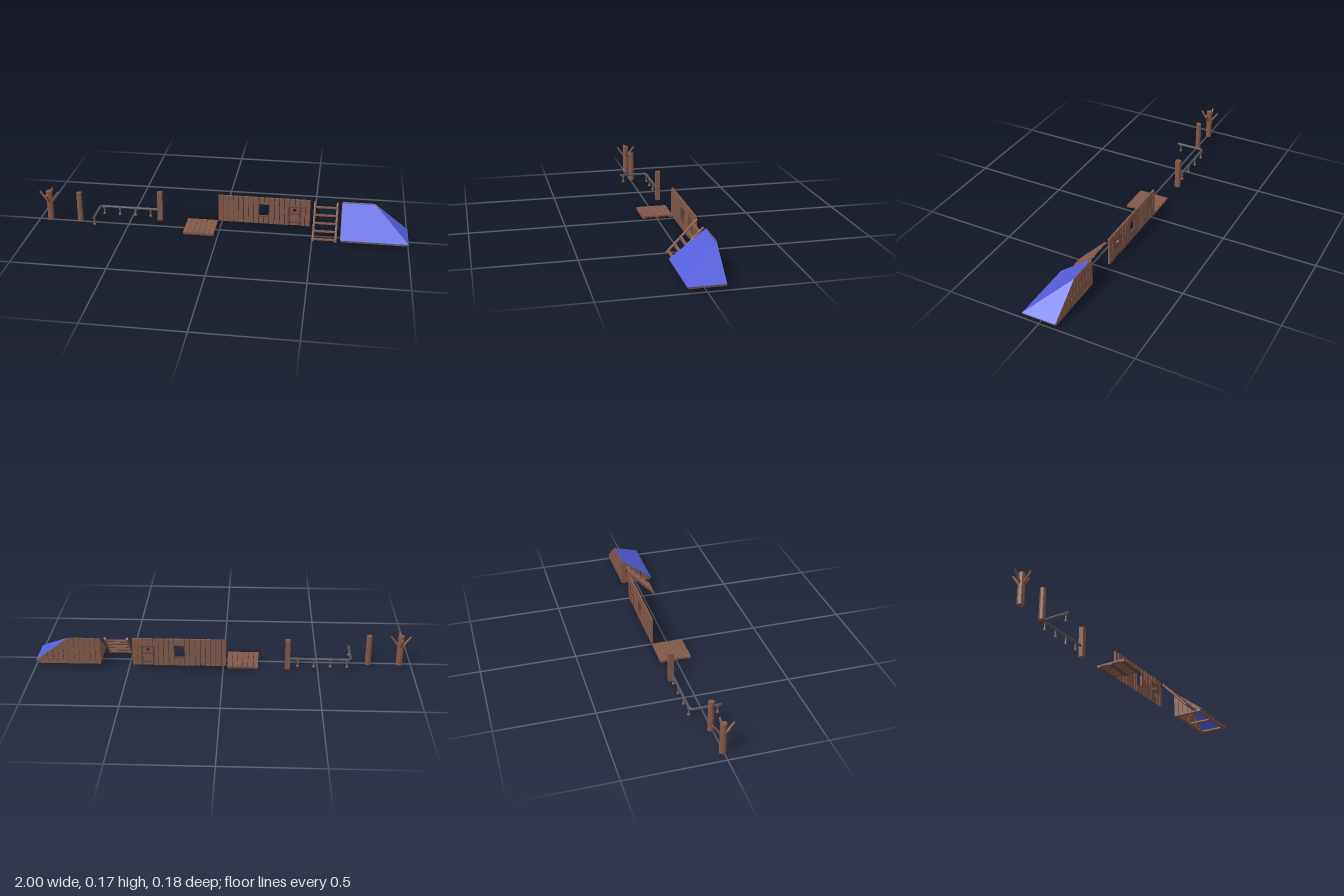
import * as THREE from 'three';

const mat = (color, side = THREE.FrontSide) =>
  new THREE.MeshStandardMaterial({ color, side, flatShading: true, roughness: 0.9 });
const wood = mat(0x83594a), darkWood = mat(0x6a4639), metal = mat(0x50555c);
const cloth = mat(0x5560dd, THREE.DoubleSide);

// Small seeded generator for uneven plank edges
let seed = 7;
const rnd = () => (seed = (seed * 16807) % 2147483647) / 2147483647;

function add(parent, name, geo, material, x = 0, y = 0, z = 0) {
  const m = new THREE.Mesh(geo, material);
  m.name = name;
  m.position.set(x, y, z);
  parent.add(m);
  return m;
}

function group(parent, name, x = 0, y = 0, z = 0) {
  const g = new THREE.Group();
  g.name = name;
  g.position.set(x, y, z);
  parent.add(g);
  return g;
}

const box = (parent, name, w, h, d, x, y, z, m = wood) =>
  add(parent, name, new THREE.BoxGeometry(w, h, d), m, x, y, z);

// Straight round bar between two points
function bar(parent, name, a, b, r0, r1, sides, m) {
  const p = new THREE.Vector3(...a), q = new THREE.Vector3(...b), d = q.clone().sub(p);
  const mesh = add(parent, name, new THREE.CylinderGeometry(r1, r0, d.length(), sides), m);
  mesh.position.copy(p).add(q).multiplyScalar(0.5);
  mesh.quaternion.setFromUnitVectors(new THREE.Vector3(0, 1, 0), d.normalize());
  return mesh;
}

// Upright plank in the xy plane, with a sloping top and slightly uneven sides
function plank(parent, x0, x1, y0, top0, top1, depth) {
  const j = () => 0.0004 + rnd() * 0.0016;
  const s = new THREE.Shape();
  s.moveTo(x0 + j(), y0);
  s.lineTo(x1 - j(), y0);
  s.lineTo(x1 - j(), top1);
  s.lineTo(x0 + j(), top0);
  const geo = new THREE.ExtrudeGeometry(s, { depth, bevelEnabled: false });
  return add(parent, 'plank', geo, wood);
}

function plankRow(parent, x0, x1, count, y0, top, depth) {
  const w = (x1 - x0) / count;
  for (let i = 0; i < count; i++) {
    const a = x0 + i * w;
    plank(parent, a, a + w, y0, top(a), top(a + w), depth);
  }
}

// Bare tree trunk with four branches
function buildTree(root) {
  const g = group(root, 'bareTree', -0.94, 0, -0.005);
  add(g, 'trunk', new THREE.CylinderGeometry(0.017, 0.018, 0.168, 8), wood, 0, 0.084, 0);
  for (let i = 0; i < 4; i++) {
    const c = Math.cos(i * Math.PI / 2), s = Math.sin(i * Math.PI / 2);
    bar(g, 'branch', [c * 0.01, 0.106, s * 0.01], [c * 0.052, 0.164, s * 0.052], 0.007, 0.005, 6, wood);
  }
}

// Curb-height handrail turning one corner, on turned balusters
function buildRailing(root) {
  const g = group(root, 'railing');
  const y = 0.06, pts = [[-0.675, y, 0.078], [-0.675, y, -0.068], [-0.664, y, -0.079], [-0.352, y, -0.079]];
  for (let i = 0; i < 3; i++) bar(g, 'handrail', pts[i], pts[i + 1], 0.007, 0.007, 8, metal);
  for (const p of pts.slice(1, 3)) add(g, 'elbow', new THREE.SphereGeometry(0.0072, 8, 6), metal, ...p);
  const profile = [[0, 0.015], [0.008, 0.015], [0.008, 0.02], [0.005, 0.025], [0.004, 0.045], [0.008, 0.053], [0, 0.054]]
    .map(p => new THREE.Vector2(...p));
  const spots = [[-0.675, 0.06], [-0.655, -0.079], [-0.567, -0.079], [-0.48, -0.079], [-0.395, -0.079]];
  for (const [x, z] of spots) add(g, 'baluster', new THREE.LatheGeometry(profile, 8), wood, x, 0, z);
}

// Square floor panel: planks over cross battens
function buildFloor(root) {
  const g = group(root, 'floorPanel', 0, 0.015, 0.08);
  g.rotation.x = Math.PI / 2;
  g.scale.y = -1;
  const deck = group(g, 'floorDeck');
  deck.scale.y = 1;
  for (let i = 0; i < 6; i++) {
    const x = -0.187 + i * 0.0278;
    box(deck, 'floorPlank', 0.0262 - rnd() * 0.001, 0.168 - rnd() * 0.004, 0.009, x + 0.014, 0.084, 0.0045);
  }
  for (const y of [0.012, 0.084, 0.156]) box(g, 'floorBatten', 0.164, 0.02, 0.006, -0.104, y, 0.012, darkWood);
}

// Plank wall with a window opening and a small door
function buildWall(root) {
  const g = group(root, 'wall', 0, 0, -0.09);
  const w = 0.0277, x0 = -0.018, d = 0.01, top = 0.168, base = 0.015;
  for (let i = 0; i < 18; i++) {
    const a = x0 + i * w, b = a + w;
    if (i === 8 || i === 9) {
      plank(g, a, b, base, 0.06, 0.06, d);
      plank(g, a, b, 0.13, top, top, d);
    } else if (i === 14 || i === 15) plank(g, a, b, 0.122, top, top, d);
    else plank(g, a, b, base, top, top, d);
  }
  // Window frame
  const f = group(g, 'windowFrame', 0.2313, 0.095, 0.006);
  for (const s of [-1, 1]) {
    box(f, 'windowJamb', 0.005, 0.078, 0.013, s * 0.029, 0, 0, darkWood);
    box(f, 'windowSill', 0.063, 0.005, 0.013, 0, s * 0.0365, 0, darkWood);
  }
  // Door leaf with a round peephole
  const door = group(g, 'door', 0.3975);
  const s = new THREE.Shape([[-0.026, 0.017], [0.026, 0.017], [0.026, 0.121], [-0.026, 0.121]]
    .map(p => new THREE.Vector2(...p)));
  s.holes.push(new THREE.Path().absarc(-0.001, 0.104, 0.01, 0, Math.PI * 2, true));
  add(door, 'doorLeaf', new THREE.ExtrudeGeometry(s, { depth: 0.008, bevelEnabled: false, curveSegments: 8 }), wood, 0, 0, 0.001);
  for (const k of [-1, 1]) box(door, 'doorJamb', 0.009, 0.107, 0.014, k * 0.033, 0.07, 0.006, darkWood);
  box(door, 'doorLintel', 0.084, 0.009, 0.014, 0, 0.124, 0.006, darkWood);
  for (const y of [0.035, 0.085]) box(door, 'doorBatten', 0.054, 0.009, 0.013, 0, y, 0.006, darkWood);
  box(door, 'doorHandle', 0.005, 0.012, 0.015, 0.019, 0.06, 0.0065, metal);
}

// Leaning ladder with level treads
function buildLadder(root) {
  const g = group(root, 'ladder');
  for (const x of [0.505, 0.624]) bar(g, 'ladderRail', [x, 0.004, 0.069], [x, 0.164, -0.084], 0.0065, 0.0065, 6, wood);
  for (let i = 0; i < 5; i++) {
    const y = 0.014 + i * 0.032;
    box(g, 'ladderTread', 0.118, 0.006, 0.016, 0.5645, y, 0.069 - (y - 0.004) * 0.956);
  }
}

// Lean-to roof: hipped cloth over a plank back, plank end and base frame
function buildRoof(root) {
  const g = group(root, 'roof');
  const E = 0.03, T = 0.168;
  const a = [0.65, T, -0.09], b = [0.82, T, -0.09], c = [1, E, -0.09], d = [1, E, 0.09], e = [0.65, E, 0.09];
  const cover = new THREE.BufferGeometry();
  cover.setAttribute('position', new THREE.Float32BufferAttribute([e, d, b, e, b, a, d, c, b].flat(), 3));
  cover.computeVertexNormals();
  add(g, 'roofCover', cover, cloth);
  // Dark trim along the eaves and under the edges
  box(g, 'frontEave', 0.35, 0.005, 0.008, 0.825, 0.0265, 0.086, metal);
  box(g, 'sideEave', 0.008, 0.005, 0.18, 0.996, 0.0265, 0, metal);
  for (const [p, q] of [[a, b], [b, c], [a, e], [b, d]]) {
    const low = v => [v[0] - 0.001, v[1] - 0.004, v[2] * 0.97];
    bar(g, 'rafter', low(p), low(q), 0.0025, 0.0025, 5, metal);
  }
  // Plank back and end
  const back = group(g, 'roofBack', 0, 0, -0.09);
  plankRow(back, 0.65, 0.82, 6, 0.018, () => T - 0.002, 0.006);
  plankRow(back, 0.82, 0.99, 6, 0.018, x => T - 0.002 - (x - 0.82) / 0.18 * (T - E), 0.006);
  const end = group(g, 'roofEnd', 0.651);
  end.rotation.y = Math.PI / 2;
  plankRow(end, -0.08, 0.088, 6, 0.018, u => E - 0.002 + (u + 0.09) / 0.18 * (T - E), 0.006);
  // Base frame with two openings
  for (const z of [0.07, -0.079]) box(g, 'baseBeam', 0.336, 0.009, 0.02, 0.82, 0.0195, z);
  for (const x of [0.662, 0.82, 0.978]) box(g, 'baseCrossBeam', 0.02, 0.0085, 0.16, x, 0.0197, -0.005);
}

export function createModel() {
  seed = 7;
  const root = new THREE.Group();
  root.name = 'shackKit';
  buildTree(root);
  add(root, 'roundPost', new THREE.CylinderGeometry(0.015, 0.016, 0.168, 8), wood, -0.773, 0.084, -0.008);
  buildRailing(root);
  box(root, 'squarePost', 0.026, 0.168, 0.026, -0.34, 0.084, -0.077);
  buildFloor(root);
  buildWall(root);
  buildLadder(root);
  buildRoof(root);
  return root;
}
